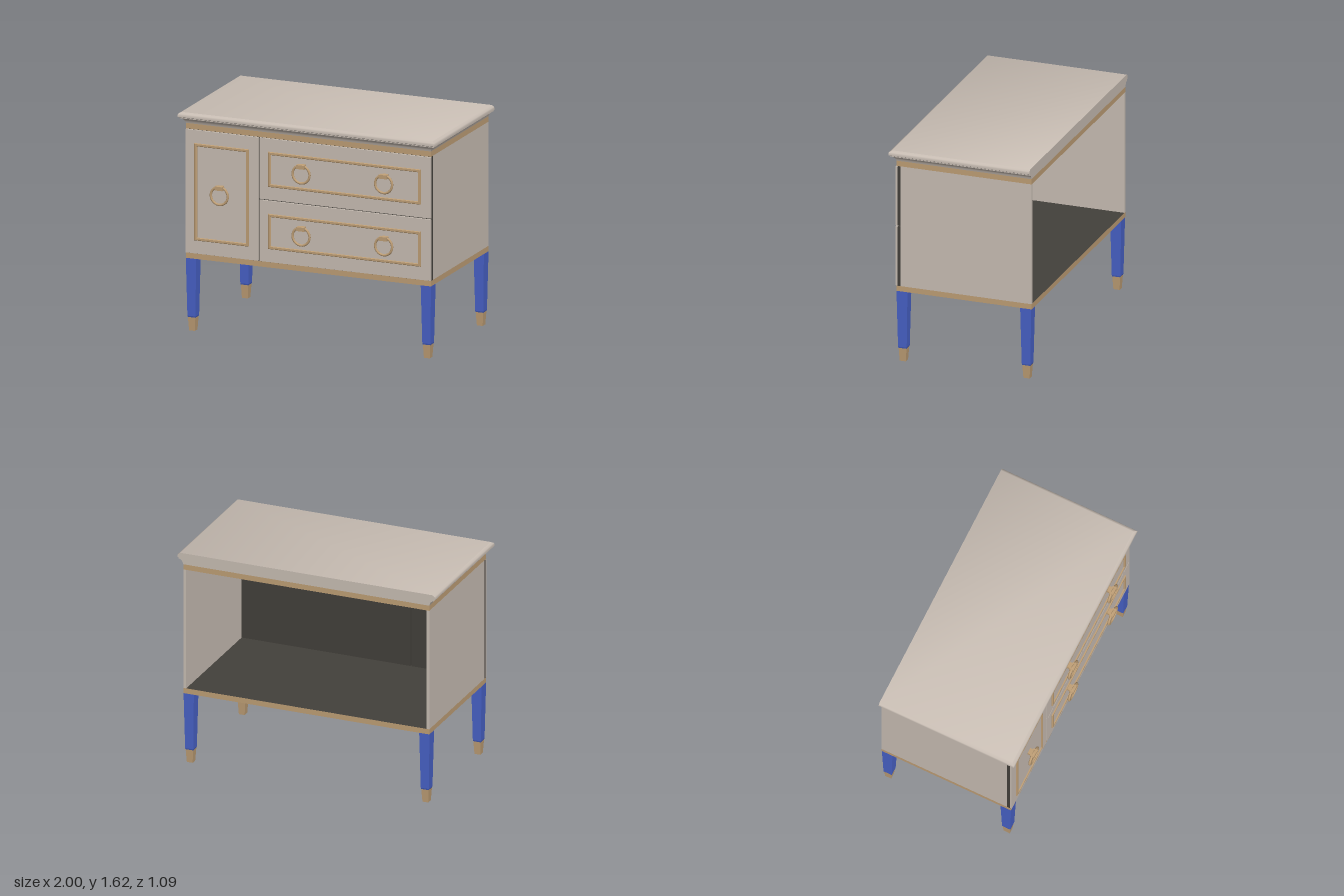
import * as THREE from 'three';
import { toCreasedNormals } from 'three/addons/utils/BufferGeometryUtils.js';

const paint = (name, color) => {
  const m = new THREE.MeshStandardMaterial({ color });
  m.name = name;
  return m;
};

export function createModel() {
  const model = new THREE.Group();
  model.name = 'sideboard';
  const greige = paint('greige lacquer', 0xc9beb4);
  const brass = paint('brushed brass', 0xbf9f76);
  const blue = paint('blue legs', 0x4862c8);
  const dark = paint('dark carcass', 0x43403b);

  const add = (name, geometry, material, parent = model) => {
    const mesh = new THREE.Mesh(geometry, material);
    mesh.name = name;
    parent.add(mesh);
    return mesh;
  };
  // Box given by its minimum and maximum corners
  const box = (name, [x0, y0, z0], [x1, y1, z1], material, parent) => {
    const mesh = add(name, new THREE.BoxGeometry(x1 - x0, y1 - y0, z1 - z0), material, parent);
    mesh.position.set((x0 + x1) / 2, (y0 + y1) / 2, (z0 + z1) / 2);
    return mesh;
  };

  const W = 0.955, BACK = -0.545, FRONT = 0.485;

  // Floor and ceiling boards: brass edges, dark inside the cabinet
  box('bottomBoard', [-W, 0.54, BACK], [W, 0.58, FRONT], [brass, brass, dark, greige, brass, brass]);
  box('upperBoard', [-W, 1.5, BACK], [W, 1.54, FRONT], [brass, brass, greige, dark, brass, brass]);

  // Side walls with dark front edges; the back stays open
  for (const s of [-1, 1]) {
    const wall = box('sidePanel', [-0.011, 0.58, BACK], [0.011, 1.5, 0.453],
      [greige, greige, greige, greige, dark, greige]);
    wall.position.x = s * (W - 0.011);
  }

  // Moulded top: a profile swept round front and sides, flush at the back
  // Profile entries are [overhang, height]
  const profile = [[0, 1.54], [0.004, 1.553], [0.01, 1.564], [0.019, 1.573], [0.032, 1.58],
    [0.036, 1.58], [0.036, 1.586], [0.045, 1.591], [0.045, 1.606], [0.041, 1.614], [0.024, 1.625]];
  const corners = ([d, y]) => [[-W - d, y, BACK], [-W - d, y, FRONT + d], [W + d, y, FRONT + d], [W + d, y, BACK]];
  const points = [];
  const quad = (a, b, c, d) => points.push(...a, ...b, ...c, ...a, ...c, ...d);
  for (let i = 0; i < profile.length - 1; i++) {
    const lo = corners(profile[i]), hi = corners(profile[i + 1]);
    for (let k = 0; k < 4; k++) {
      const n = (k + 1) % 4;
      quad(lo[k], lo[n], hi[n], hi[k]);
    }
  }
  quad(...corners(profile[profile.length - 1]));
  quad(...corners(profile[0]).reverse());
  const topGeometry = new THREE.BufferGeometry();
  topGeometry.setAttribute('position', new THREE.Float32BufferAttribute(points, 3));
  add('mouldedTop', toCreasedNormals(topGeometry, 0.6), greige);

  // Raised brass frame with a rectangular opening
  const frame = (x0, y0, x1, y1, parent) => {
    const rect = (path, i) => path.moveTo(x0 + i, y0 + i).lineTo(x1 - i, y0 + i)
      .lineTo(x1 - i, y1 - i).lineTo(x0 + i, y1 - i).closePath();
    const shape = rect(new THREE.Shape(), 0.004);
    shape.holes.push(rect(new THREE.Path(), 0.018));
    const geometry = new THREE.ExtrudeGeometry(shape, {
      depth: 0.006, bevelEnabled: true, bevelThickness: 0.004, bevelSize: 0.004, bevelSegments: 1,
    });
    add('brassFrame', geometry, brass, parent).position.z = 0.49;
  };

  // Ring pull hanging from a small bracket
  const ringPull = (x, y, parent) => {
    const pull = new THREE.Group();
    pull.name = 'ringPull';
    pull.position.set(x, y, 0);
    parent.add(pull);
    add('ring', new THREE.TorusGeometry(0.066, 0.009, 10, 36), brass, pull).position.z = 0.528;
    box('bracketStem', [-0.022, 0.045, 0.488], [0.022, 0.068, 0.52], brass, pull);
    box('bracket', [-0.031, 0.042, 0.513], [0.031, 0.071, 0.545], brass, pull);
  };

  // Each front: dark backing, lacquered face, frame and pulls
  const makeFront = (name, x0, y0, x1, y1, f, pulls) => {
    const group = new THREE.Group();
    group.name = name;
    model.add(group);
    box('backing', [x0, y0, 0.455], [x1, y1, 0.476], dark, group);
    box('face', [x0, y0, 0.476], [x1, y1, 0.491], greige, group);
    frame(...f, group);
    for (const [x, y] of pulls) ringPull(x, y, group);
  };
  makeFront('door', -W, 0.582, -0.39, 1.496, [-0.885, 0.68, -0.46, 1.4], [[-0.675, 1.04]]);
  makeFront('upperDrawer', -0.38, 1.044, W, 1.496, [-0.31, 1.14, 0.88, 1.4], [[-0.038, 1.27], [0.605, 1.27]]);
  makeFront('lowerDrawer', -0.38, 0.582, W, 1.035, [-0.31, 0.68, 0.88, 0.94], [[-0.038, 0.81], [0.605, 0.81]]);

  // Box tapering from a top size to a bottom size
  const taper = (y0, y1, [topX, topZ], [botX, botZ]) => {
    const geometry = new THREE.BoxGeometry(1, y1 - y0, 1);
    geometry.translate(0, (y0 + y1) / 2, 0);
    const p = geometry.attributes.position;
    for (let i = 0; i < p.count; i++) {
      const top = p.getY(i) > (y0 + y1) / 2;
      p.setX(i, p.getX(i) * (top ? topX : botX));
      p.setZ(i, p.getZ(i) * (top ? topZ : botZ));
    }
    geometry.computeVertexNormals();
    return geometry;
  };

  // Four tapered legs with brass feet
  for (const x of [-0.915, 0.915]) {
    for (const z of [-0.5, 0.443]) {
      const leg = new THREE.Group();
      leg.name = 'leg';
      leg.position.set(x, 0, z);
      model.add(leg);
      add('shaft', taper(0.11, 0.54, [0.08, 0.084], [0.063, 0.066]), blue, leg);
      add('collar', taper(0.1, 0.11, [0.063, 0.066], [0.058, 0.06]), blue, leg);
      add('foot', taper(0, 0.1, [0.058, 0.06], [0.045, 0.047]), brass, leg);
    }
  }
  return model;
}
